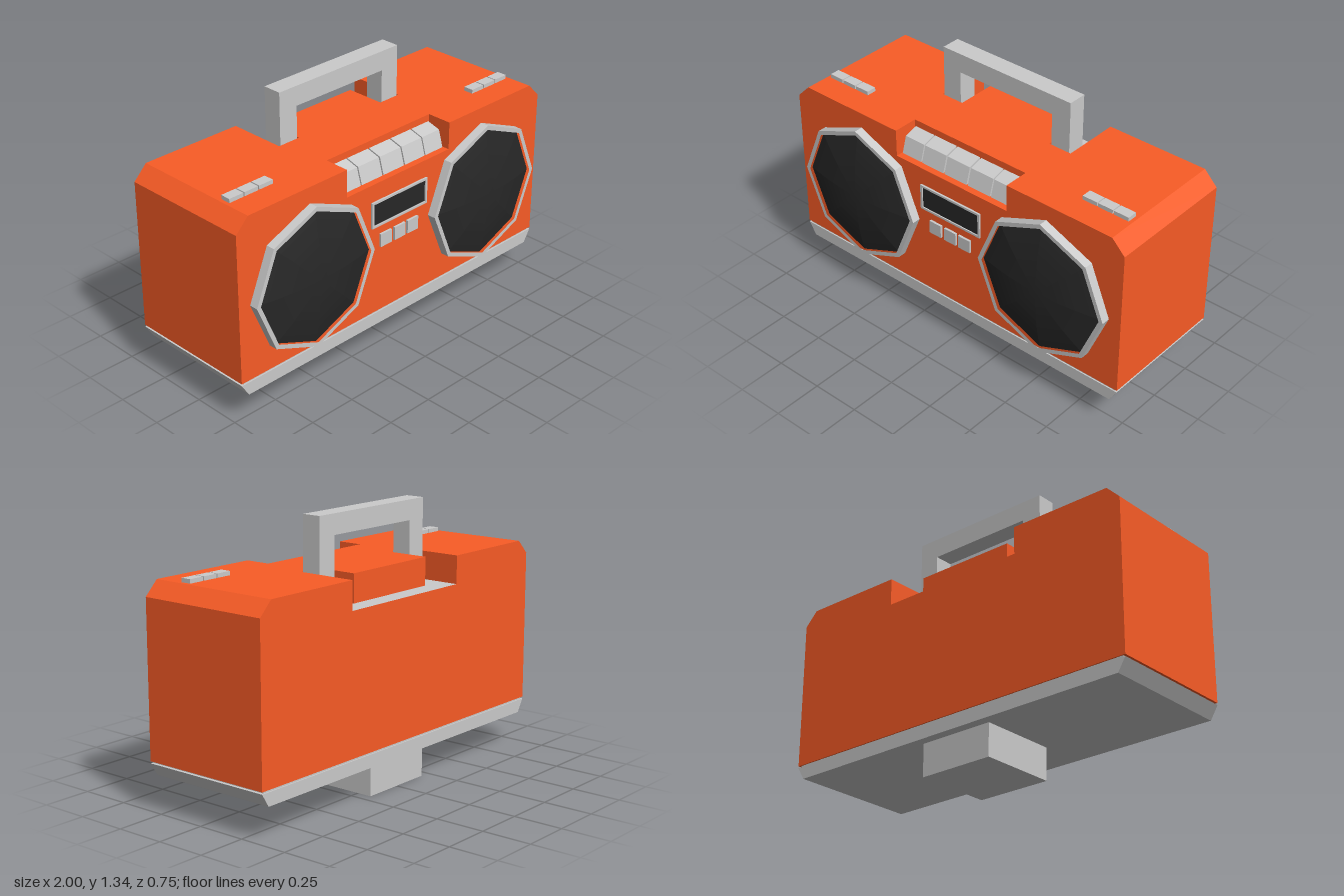
import * as THREE from 'three';

const material = (color) => new THREE.MeshStandardMaterial({ color, flatShading: true });
const grey = material(0xcccccc);
const orange = material(0xfa5c26);
const black = material(0x282828);

const shapeOf = (points) => new THREE.Shape(points.map(([x, y]) => new THREE.Vector2(x, y)));

const extrude = (shape, depth, steps = 1) =>
  new THREE.ExtrudeGeometry(shape, { depth, steps, bevelEnabled: false });

// Box given by its limits on each axis
function box([x0, x1], [y0, y1], [z0, z1]) {
  return new THREE.BoxGeometry(x1 - x0, y1 - y0, z1 - z0)
    .translate((x0 + x1) / 2, (y0 + y1) / 2, (z0 + z1) / 2);
}

// Removes the triangles lying in a level plane, where two slabs meet
function openAt(geometry, level) {
  const source = geometry.index ? geometry.toNonIndexed() : geometry;
  const p = source.attributes.position;
  const kept = [];
  for (let i = 0; i < p.count; i += 3) {
    const flat = [0, 1, 2].every((k) => Math.abs(p.getY(i + k) - level) < 1e-4);
    if (!flat) for (let k = 0; k < 3; k++) kept.push(p.getX(i + k), p.getY(i + k), p.getZ(i + k));
  }
  const result = new THREE.BufferGeometry();
  result.setAttribute('position', new THREE.Float32BufferAttribute(kept, 3));
  result.computeVertexNormals();
  return result;
}

// Regular octagon with a corner at the top
function octagon(radius, Type = THREE.Shape) {
  const points = [];
  for (let i = 0; i < 8; i++) {
    const a = (i * Math.PI) / 4;
    points.push(new THREE.Vector2(radius * Math.sin(a), radius * Math.cos(a)));
  }
  return new Type(points);
}

export function createModel() {
  const model = new THREE.Group();
  const add = (name, geometry, mat = grey, parent = model) => {
    const mesh = new THREE.Mesh(geometry, mat);
    mesh.name = name;
    parent.add(mesh);
    return mesh;
  };

  const FRONT = 0.31, BACK = -0.375, FLOOR = 0.93, TOP = 1.07;

  // Body: plain lower block, and an upper slab cut out for the keys and the handle
  add('lowerBody', openAt(box([-1, 1], [0.24, FLOOR], [BACK, FRONT]), FLOOR), orange);
  const plan = shapeOf([
    [-1, -FRONT], [-0.34, -FRONT], [-0.34, -0.18], [0.34, -0.18], [0.34, -FRONT], [1, -FRONT],
    [1, -BACK], [0.395, -BACK], [0.395, 0.075], [0.27, 0.075], [0.27, 0.28],
    [-0.27, 0.28], [-0.27, 0.075], [-0.395, 0.075], [-0.395, -BACK], [-1, -BACK],
  ]);
  const upper = extrude(plan, TOP - FLOOR, 2).rotateX(-Math.PI / 2).translate(0, FLOOR, 0);
  const p = upper.attributes.position;
  for (let i = 0; i < p.count; i++) { // sloped top corners
    if (p.getY(i) > TOP - 0.01 && Math.abs(p.getX(i)) > 0.99) p.setX(i, 0.93 * Math.sign(p.getX(i)));
  }
  add('upperBody', openAt(upper, FLOOR), orange);

  // Floors of the two recesses
  const flat = (shape) => new THREE.ShapeGeometry(shape).rotateX(-Math.PI / 2).translate(0, FLOOR, 0);
  add('keyRecessFloor', flat(shapeOf([
    [-0.34, -FRONT], [0.34, -FRONT], [0.34, -0.18], [-0.34, -0.18],
  ])), orange);
  add('handleRecessFloor', flat(shapeOf([
    [-0.395, 0.075], [-0.27, 0.075], [-0.27, 0.28], [0.27, 0.28],
    [0.27, 0.075], [0.395, 0.075], [0.395, -BACK], [-0.395, -BACK],
  ])));

  // Base with tapered ends, a narrow gap above it and the stand below
  const baseProfile = shapeOf([[-0.96, 0.165], [0.96, 0.165], [1, 0.23], [-1, 0.23]]);
  add('base', extrude(baseProfile, FRONT - BACK).translate(0, 0, BACK));
  add('baseGap', box([-0.985, 0.985], [0.228, 0.242], [BACK + 0.006, FRONT - 0.006]));
  add('stand', box([-0.2, 0.2], [0, 0.167], [-0.325, 0.08]));

  // Handle rising from the recess
  const handle = shapeOf([
    [-0.385, FLOOR], [-0.28, FLOOR], [-0.28, 1.235], [0.28, 1.235],
    [0.28, FLOOR], [0.385, FLOOR], [0.385, 1.335], [-0.385, 1.335],
  ]);
  add('handle', extrude(handle, 0.098).translate(0, 0, -0.175));

  // Speakers: octagonal rim around a domed grille
  const rimShape = octagon(0.365);
  rimShape.holes.push(octagon(0.342, THREE.Path));
  const rim = extrude(rimShape, 0.045);
  const dome = [];
  for (let i = 0; i <= 8; i++) {
    const r = 0.343 * (1 - i / 8);
    dome.push(new THREE.Vector2(r, 0.068 - 0.04 * (r / 0.343) ** 2));
  }
  const grille = new THREE.LatheGeometry(dome, 8).rotateX(Math.PI / 2);
  for (const side of [1, -1]) {
    const speaker = new THREE.Group();
    speaker.name = side > 0 ? 'leftSpeaker' : 'rightSpeaker';
    speaker.position.set(0.57 * side, 0.625, FRONT);
    add('speakerRim', rim, grey, speaker);
    add('speakerGrille', grille, black, speaker);
    model.add(speaker);

    // Small buttons on the top
    for (let i = 0; i < 3; i++) {
      const x = side * (0.7 + i * 0.086);
      add('topButton', box([x - 0.04, x + 0.04], [TOP, 1.09], [0.12, 0.172]));
    }
  }

  // Row of five sloped keys
  const keyProfile = shapeOf([[-0.275, FLOOR], [-0.18, FLOOR], [-0.18, 1.035], [-0.25, 1.015]]);
  const keyEdges = [[-0.335, -0.217], [-0.21, -0.076], [-0.068, 0.068], [0.076, 0.21], [0.217, 0.335]];
  for (const [x0, x1] of keyEdges) {
    add('key', extrude(keyProfile, x1 - x0).rotateY(Math.PI / 2).translate(x0, 0, 0));
  }

  // Display window in its frame
  const frame = shapeOf([[-0.185, 0.705], [0.185, 0.705], [0.185, 0.84], [-0.185, 0.84]]);
  frame.holes.push(shapeOf([[-0.173, 0.716], [-0.173, 0.829], [0.173, 0.829], [0.173, 0.716]]));
  add('displayFrame', extrude(frame, 0.01).translate(0, 0, FRONT));
  add('display', box([-0.173, 0.173], [0.716, 0.829], [FRONT, FRONT + 0.004]), black);

  // Three front buttons
  for (const x of [-0.093, 0, 0.088]) {
    add('frontButton', box([x - 0.036, x + 0.036], [0.59, 0.658], [FRONT, FRONT + 0.012]));
  }

  return model;
}
